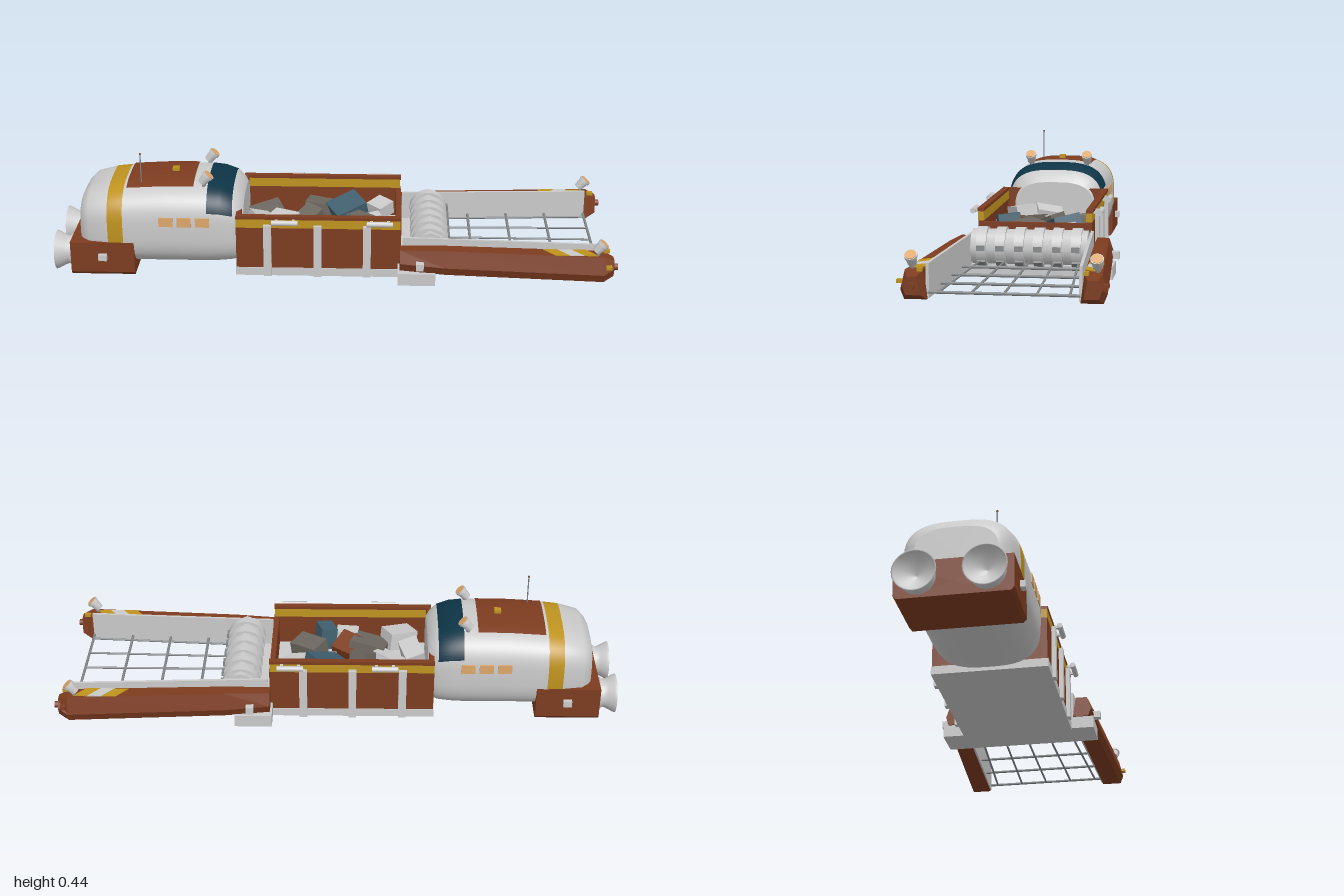
import * as THREE from 'three';

const mat = (name, color) => {
  const m = new THREE.MeshStandardMaterial({ color });
  m.name = name;
  return m;
};

export function createModel() {
  const root = new THREE.Group();
  root.name = 'salvageShip';
  const hull = mat('hull grey', 0xcacaca), rust = mat('rust brown', 0x7d3c20), yellow = mat('ochre yellow', 0xbf931f),
    glass = mat('dark teal glass', 0x0d3446), lampGlow = mat('warm lamp', 0xdda76c), steel = mat('steel grey', 0x85888a),
    scrapDark = mat('scrap grey', 0x6c675f), scrapBlue = mat('scrap blue', 0x41606f);
  glass.side = THREE.FrontSide;
  const nozzleMat = hull;
  nozzleMat.side = THREE.DoubleSide;

  const add = (name, geo, m, x = 0, y = 0, z = 0) => {
    const mesh = new THREE.Mesh(geo, m);
    mesh.name = name;
    mesh.position.set(x, y, z);
    root.add(mesh);
    return mesh;
  };
  // box given by its extents
  const box = (name, m, x0, x1, y0, y1, z0, z1) =>
    add(name, new THREE.BoxGeometry(x1 - x0, y1 - y0, z1 - z0), m, (x0 + x1) / 2, (y0 + y1) / 2, (z0 + z1) / 2);
  // rod between two points
  const rod = (name, m, a, b, r) => {
    const p = new THREE.Vector3(...a), q = new THREE.Vector3(...b), d = q.clone().sub(p);
    const mesh = add(name, new THREE.CylinderGeometry(r, r, d.length(), 8), m);
    mesh.position.copy(p.add(q).multiplyScalar(0.5));
    mesh.quaternion.setFromUnitVectors(new THREE.Vector3(0, 1, 0), d.normalize());
    return mesh;
  };
  // skin over rings of [x, y, z] running toward +x; pick(i, j) gives the material slot
  const loft = (rings, pick = () => 0, flat = false) => {
    const n = rings[0].length, pos = rings.flat(2), slots = [];
    const put = (s, ...ids) => (slots[s] ??= []).push(...ids);
    for (let i = 0; i < rings.length - 1; i++)
      for (let j = 0; j < n; j++) {
        const a = i * n + j, b = i * n + (j + 1) % n;
        put(pick(i, j), a, b, b + n, a, b + n, a + n);
      }
    [rings[0], rings.at(-1)].forEach((ring, end) => {
      const base = pos.length / 3;
      pos.push(...ring.flat(), ...[0, 1, 2].map(k => ring.reduce((s, p) => s + p[k], 0) / n));
      for (let j = 0; j < n; j++) {
        const k = base + (j + 1) % n;
        end ? put(0, base + n, base + j, k) : put(0, base + n, k, base + j);
      }
    });
    let g = new THREE.BufferGeometry();
    g.setAttribute('position', new THREE.Float32BufferAttribute(pos, 3));
    g.setIndex(slots.flat());
    let start = 0;
    slots.forEach((s, k) => { g.addGroup(start, s.length, k); start += s.length; });
    if (flat) g = g.toNonIndexed();
    g.computeVertexNormals();
    return g;
  };

  // Cabin: superelliptic sections [x, half width, bottom, top]
  const sections = [[-0.905, 0.135, 0.07, 0.268], [-0.895, 0.152, 0.058, 0.286], [-0.87, 0.175, 0.045, 0.31],
    [-0.8, 0.187, 0.035, 0.328], [-0.745, 0.19, 0.031, 0.334], [-0.6, 0.19, 0.03, 0.343], [-0.445, 0.19, 0.03, 0.344],
    [-0.4, 0.188, 0.032, 0.339], [-0.355, 0.18, 0.036, 0.323], [-0.33, 0.165, 0.045, 0.3], [-0.318, 0.15, 0.055, 0.28]];
  const pw = v => Math.sign(v) * Math.abs(v) ** (2 / 3);
  const N = 64;
  const rings = sections.map(([x, w, b, t]) => Array.from({ length: N }, (_, j) => {
    const a = j / N * Math.PI * 2;
    return [x, (b + t) / 2 + (t - b) / 2 * pw(Math.cos(a)), w * pw(Math.sin(a))];
  }));
  add('cabin', loft(rings, (i, j) => {
    const off = Math.min(j + 0.5, N - j - 0.5);
    return i === 3 ? 1 : (i === 6 || i === 7) && off < 13 ? 2 : 0;
  }), [hull, yellow, glass]);

  // Roof panel following the curve of the cabin
  const roofY = (x, z) => {
    const i = sections.findIndex((s, k) => k && s[0] >= x), p = sections[i - 1], q = sections[i];
    const f = (x - p[0]) / (q[0] - p[0]), [, w, b, t] = p.map((v, k) => v + (q[k] - v) * f);
    return (b + t) / 2 + (t - b) / 2 * Math.cbrt(1 - Math.abs(z / w) ** 3);
  };
  const panel = new THREE.PlaneGeometry(0.24, 0.24, 8, 16).rotateX(-Math.PI / 2).translate(-0.615, 0, 0);
  const pp = panel.attributes.position;
  for (let i = 0; i < pp.count; i++) pp.setY(i, roofY(pp.getX(i), pp.getZ(i)) + 0.004);
  panel.computeVertexNormals();
  add('roofPanel', panel, rust);
  box('roofBeacon', yellow, -0.582, -0.558, 0.34, 0.36, -0.011, 0.011);
  rod('antenna', steel, [-0.685, 0.33, 0.09], [-0.685, 0.445, 0.09], 0.0022);
  add('antennaTip', new THREE.SphereGeometry(0.004, 8, 6), rust, -0.685, 0.443, 0.09);

  // Tilted work lamps
  const lamp = (x, y, z) => {
    const g = new THREE.Group();
    g.name = 'workLamp';
    const part = (name, r0, r1, h, yy, m) => {
      const mesh = new THREE.Mesh(new THREE.CylinderGeometry(r1, r0, h, 16), m);
      mesh.name = name;
      mesh.position.y = yy;
      g.add(mesh);
    };
    part('lampBody', 0.015, 0.019, 0.034, 0, hull);
    part('lampRim', 0.021, 0.021, 0.01, 0.019, hull);
    part('lampLens', 0.018, 0.018, 0.004, 0.024, lampGlow);
    g.position.set(x, y, z);
    g.rotation.z = -0.71;
    root.add(g);
    rod('lampStem', steel, [x - 0.005, y - 0.03, z], [x, y, z], 0.007);
  };

  // Engine block and nozzles
  const eng = [[0.14, 0.19], [0.025, 0.19], [0.013, 0.18], [0.013, -0.18], [0.025, -0.19], [0.14, -0.19]];
  add('engineBlock', loft([-0.937, -0.708].map(x => eng.map(([y, z]) => [x, y, z])), undefined, true), rust);
  const bell = [[0.035, 0.01], [0.05, 0.01], [0.057, 0.02], [0.05, 0.03], [0.056, 0.045], [0.067, 0.065], [0.071, 0.075],
    [0.066, 0.075], [0.048, 0.045], [0, 0.03]].map(p => new THREE.Vector2(...p));

  for (const s of [1, -1]) {
    const sbox = (name, m, x0, x1, y0, y1, z0, z1) =>
      s > 0 ? box(name, m, x0, x1, y0, y1, z0, z1) : box(name, m, x0, x1, y0, y1, -z1, -z0);
    add('nozzle', new THREE.LatheGeometry(bell, 28), nozzleMat, -0.925, 0.075, s * 0.11).rotation.z = Math.PI / 2;
    sbox('engineLatch', hull, -0.835, -0.805, 0.075, 0.098, 0.188, 0.207);
    for (const x of [-0.59, -0.525, -0.46]) sbox('cabinWindow', lampGlow, x - 0.025, x + 0.025, 0.206, 0.24, 0.184, 0.193);
    lamp(-0.455, 0.357, s * 0.11);

    // Hold side wall, stripe, rim, ribs and grab rails
    sbox('holdWall', rust, -0.34, 0.245, 0.055, 0.212, 0.182, 0.2);
    sbox('holdStripe', yellow, -0.34, 0.243, 0.212, 0.245, 0.18, 0.201);
    sbox('holdRim', rust, -0.34, 0.245, 0.245, 0.256, 0.18, 0.203);
    for (const x of [-0.228, -0.05, 0.125]) sbox('holdRib', hull, x - 0.014, x + 0.014, 0.03, 0.225, 0.198, 0.215);
    for (const x of [-0.165, 0.17]) {
      rod('grabRail', hull, [x - 0.046, 0.242, s * 0.225], [x + 0.046, 0.242, s * 0.225], 0.01);
      for (const e of [-0.03, 0.03]) sbox('railBracket', hull, x + e - 0.005, x + e + 0.005, 0.237, 0.247, 0.2, 0.222);
    }

    // Splayed arm with chamfered cross-section: [x, bottom, top, inner z, outer z]
    const armRings = [[0.242, 0.085, 0.16, 0.207, 0.276], [0.4, 0.075, 0.165, 0.213, 0.286],
      [0.95, 0.073, 0.165, 0.237, 0.32], [0.985, 0.092, 0.15, 0.25, 0.308]].map(([x, b, t, zi, zo]) => {
      const r = [[x, t, zo - 0.015], [x, b + 0.03, zo], [x, b, zo - 0.012], [x, b, zi], [x, t, zi + 0.012]];
      return s > 0 ? r : r.map(([a, y, z]) => [a, y, -z]).reverse();
    });
    add('arm', loft(armRings, undefined, true), rust);
    rod('armTip', rust, [0.975, 0.12, s * 0.28], [1, 0.12, s * 0.28], 0.012);

    // Hazard stripes on the arm top
    [yellow, hull, yellow].forEach((m, k) => {
      const x = 0.74 + k * 0.05, zi = -s * 0.246, zo = -s * 0.294;
      const shape = new THREE.Shape([[x, zi], [x + 0.05, zi], [x + 0.09, zo], [x + 0.04, zo]].map(p => new THREE.Vector2(...p)));
      const g = new THREE.ExtrudeGeometry(shape, { depth: 0.005, bevelEnabled: false }).rotateX(-Math.PI / 2);
      add('hazardStripe', g, m, 0, 0.1625, 0);
    });

    // Inner guard plate, following the arm
    const plate = add('guardPlate', new THREE.BoxGeometry(0.69, 0.11, 0.01), hull, 0.595, 0.13, s * 0.22);
    plate.rotation.y = -s * 0.05;
    sbox('armLatch', hull, 0.298, 0.325, 0.1, 0.125, 0.275, 0.303);
    sbox('armMarker', yellow, 0.95, 0.972, 0.163, 0.174, 0.248, 0.264);
    sbox('sideMarker', s > 0 ? yellow : rust, 0.955, 0.975, 0.127, 0.138, 0.305, 0.327);
    lamp(0.932, 0.193, s * 0.287);
  }

  // Hold floor, base and end walls
  box('holdBase', hull, -0.342, 0.247, 0.028, 0.058, -0.203, 0.203);
  box('holdFloor', hull, -0.325, 0.23, 0.058, 0.1, -0.182, 0.182);
  box('holdRearWall', rust, -0.34, -0.322, 0.055, 0.256, -0.182, 0.182);
  box('holdFrontWall', rust, 0.227, 0.246, 0.055, 0.208, -0.182, 0.182);

  // Scrap load: [x, z, length, depth, turn, tilt, material]
  [[-0.25, -0.09, 0.12, 0.09, 0.35, 0.15, scrapDark], [-0.05, -0.12, 0.11, 0.08, -0.2, -0.1, scrapDark],
    [0.05, -0.08, 0.12, 0.1, 0.5, 0.2, scrapBlue], [0.17, -0.09, 0.07, 0.07, 0.8, 0.1, hull],
    [-0.18, -0.02, 0.11, 0.06, -0.6, 0.25, hull], [-0.27, 0.02, 0.07, 0.1, 0.3, -0.2, hull],
    [-0.09, -0.02, 0.08, 0.07, 0.9, 0.2, scrapDark], [-0.22, 0.11, 0.11, 0.08, 0.5, 0.1, hull],
    [-0.11, 0.07, 0.13, 0.1, -0.3, 0.15, scrapDark], [-0.03, 0.08, 0.09, 0.08, 1, -0.2, rust],
    [0.11, 0.045, 0.11, 0.08, -0.6, -0.15, scrapDark], [0.05, 0.12, 0.06, 0.08, 0.3, 0.1, scrapBlue],
    [0.09, -0.01, 0.17, 0.035, 0.3, 0.1, hull], [-0.03, 0.145, 0.08, 0.05, -0.1, 0, hull]]
    .forEach(([x, z, l, d, turn, tilt, m], i) => {
      add('scrapBlock', new THREE.BoxGeometry(l, 0.05 + (i % 3) * 0.015, d), m, x, 0.14 + (i % 4) * 0.01, z).rotation.set(tilt, turn, tilt);
    });

  // Cross beam and intake drum
  box('crossBeam', hull, 0.235, 0.367, 0.035, 0.08, -0.284, 0.284);
  rod('drumCore', hull, [0.348, 0.14, -0.2], [0.348, 0.14, 0.2], 0.061);
  for (let i = 0; i < 6; i++) {
    const z = (i - 2.5) * 0.065;
    const ring = add('drumRing', new THREE.CylinderGeometry(0.068, 0.068, 0.034, 28), hull, 0.348, 0.14, z);
    ring.rotation.x = Math.PI / 2;
    for (const a of [-0.75, 0.05]) {
      const tooth = add('drumTooth', new THREE.BoxGeometry(0.014, 0.018, 0.028), steel,
        0.348 + 0.068 * Math.cos(a), 0.14 + 0.068 * Math.sin(a), z);
      tooth.rotation.z = a;
    }
  }

  // Catch grid between the arms
  for (const x of [0.5, 0.645, 0.79, 0.938]) {
    const w = 0.205 + (x - 0.25) * 0.045;
    rod('gridBar', steel, [x, 0.094, -w], [x, 0.094, w], 0.005);
  }
  for (let i = -2; i <= 2; i++)
    rod('gridRod', steel, [0.39, 0.094, i * 0.085], [0.942, 0.094, i * 0.102], 0.004);

  return root;
}
